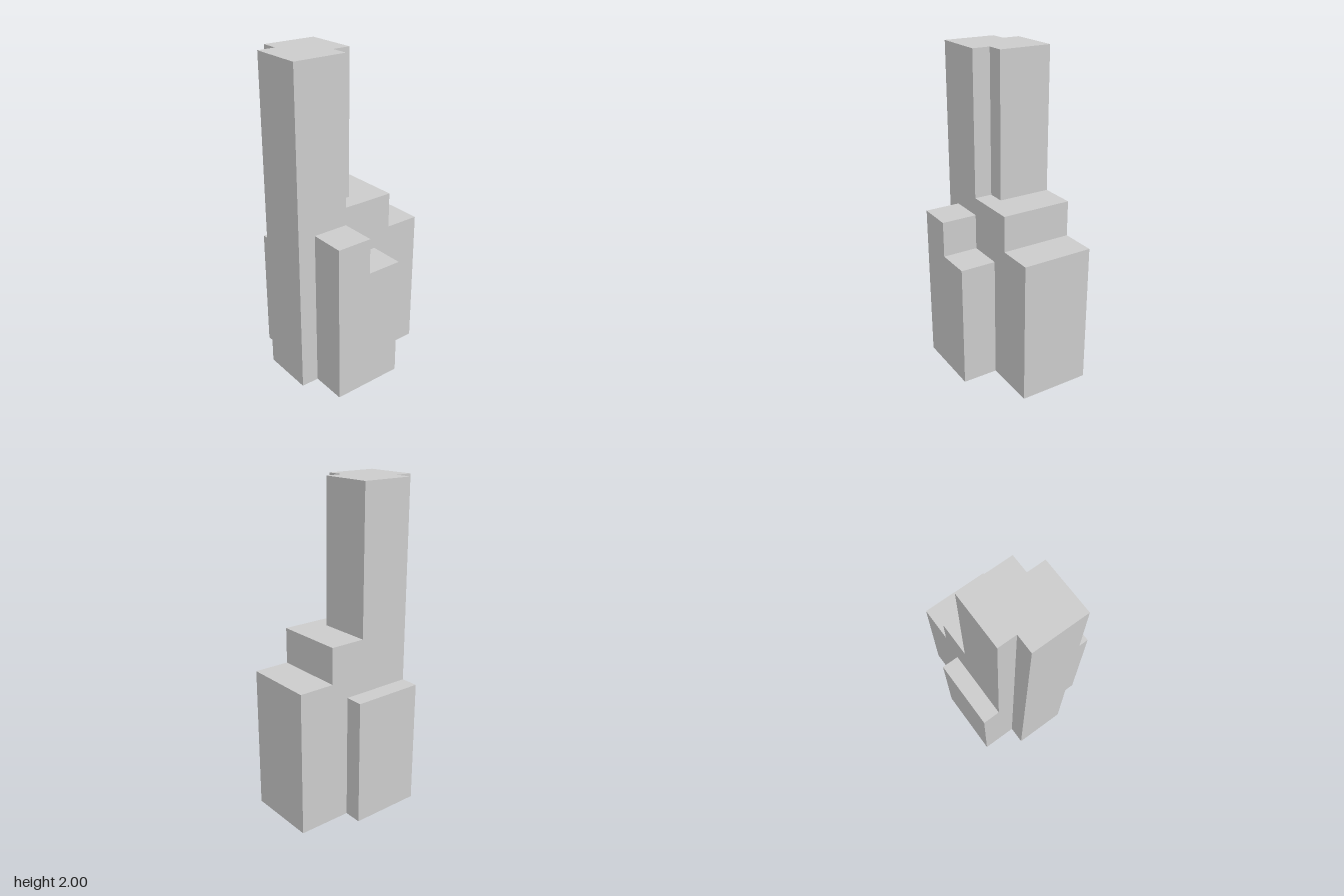
import * as THREE from 'three';

const U = 1 / 9; // module size: every part is laid out on this grid
const material = new THREE.MeshStandardMaterial({ color: 0xcccccc, flatShading: true });

// Upright prism from a plan outline of [x, z] corners, in modules
function prism(name, outline, height) {
  const shape = new THREE.Shape(outline.map(([x, z]) => new THREE.Vector2(x * U, -z * U)));
  const geometry = new THREE.ExtrudeGeometry(shape, { depth: height * U, bevelEnabled: false });
  geometry.rotateX(-Math.PI / 2);
  const mesh = new THREE.Mesh(geometry, material);
  mesh.name = name;
  return mesh;
}

const rect = (x0, x1, z0, z1) => [[x0, z0], [x1, z0], [x1, z1], [x0, z1]];

export function createModel() {
  const group = new THREE.Group();
  group.name = 'skyscraper';

  group.add(
    // Tall shaft, notched at its back right and front left corners
    prism('tower', [
      [-4, -1.5], [-3, -1.5], [-3, -2.5], [0, -2.5],
      [0, 0.5], [-1, 0.5], [-1, 1.5], [-4, 1.5],
    ], 18),
    // Mid-height block that fills the tower's front notch
    prism('shoulder', [
      [0, -2.5], [2, -2.5], [2, 1.5], [-1, 1.5], [-1, 0.5], [0, 0.5],
    ], 10),
    // Lower step on the left side
    prism('sideWing', rect(2, 4, -2.5, 1.5), 8),
    // Two-level front projection
    prism('frontWingHigh', rect(-3, -1, 1.5, 3.5), 9),
    prism('frontWingLow', rect(-1, 1, 1.5, 3.5), 7),
    // Shallow rear projection
    prism('backWing', rect(-3, 1, -3.5, -2.5), 7),
  );
  return group;
}
